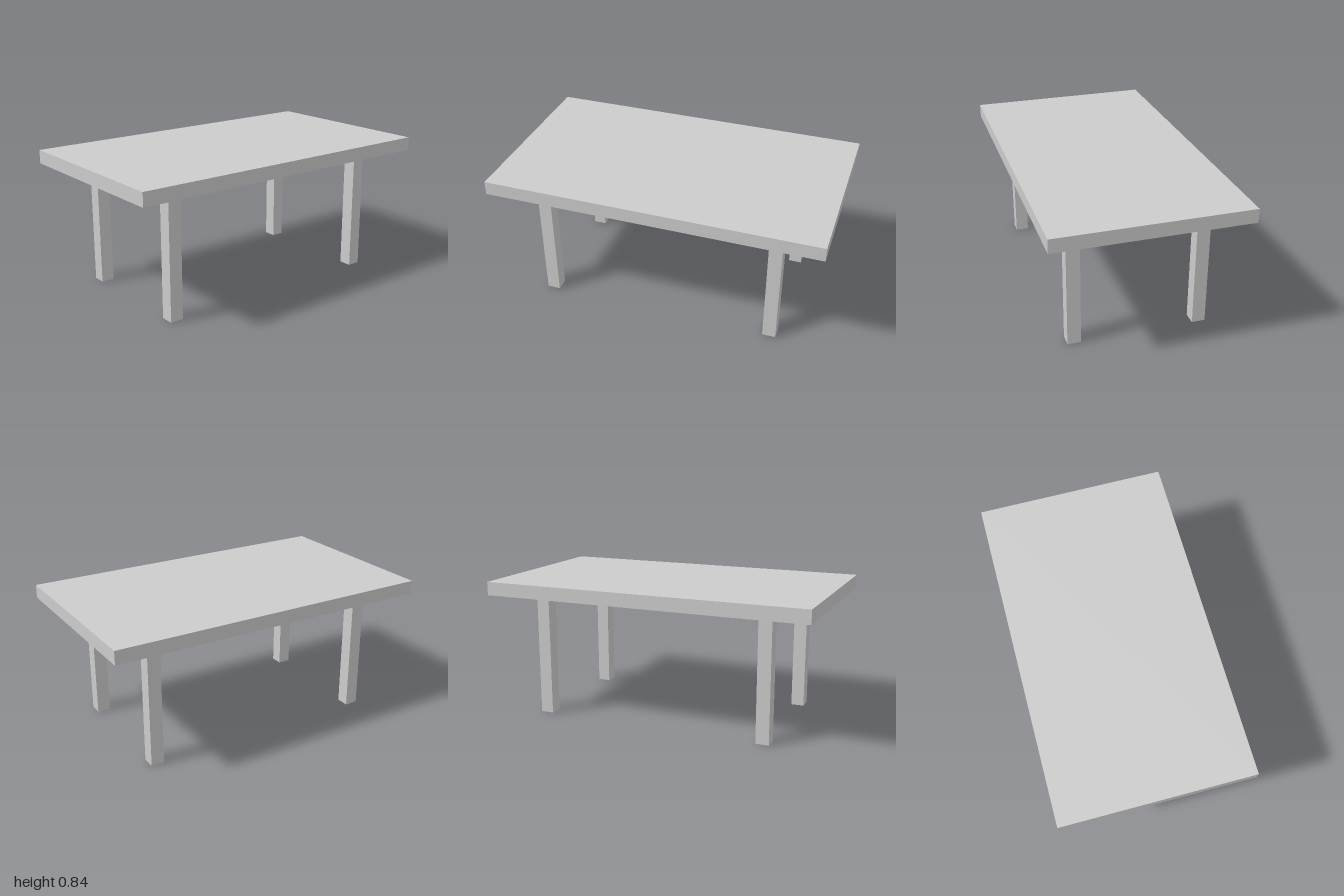
import * as THREE from 'three';

export function createModel() {
  const table = new THREE.Group();
  table.name = 'table';
  const material = new THREE.MeshStandardMaterial({ color: 0xcccccc });

  const topHeight = 0.837, legHeight = 0.755, legWidth = 0.08;
  const thickness = topHeight - legHeight;

  // Flat rectangular slab
  const top = new THREE.Mesh(new THREE.BoxGeometry(2, thickness, 1.14), material);
  top.name = 'tableTop';
  top.position.y = legHeight + thickness / 2;
  table.add(top);

  // Four square legs, mirrored across both axes
  const legGeometry = new THREE.BoxGeometry(legWidth, legHeight, legWidth);
  for (const [side, x] of [['Left', 0.708], ['Right', -0.708]]) {
    for (const [end, z] of [['front', 0.378], ['back', -0.378]]) {
      const leg = new THREE.Mesh(legGeometry, material);
      leg.name = `${end}${side}Leg`;
      leg.position.set(x, legHeight / 2, z);
      table.add(leg);
    }
  }
  return table;
}
